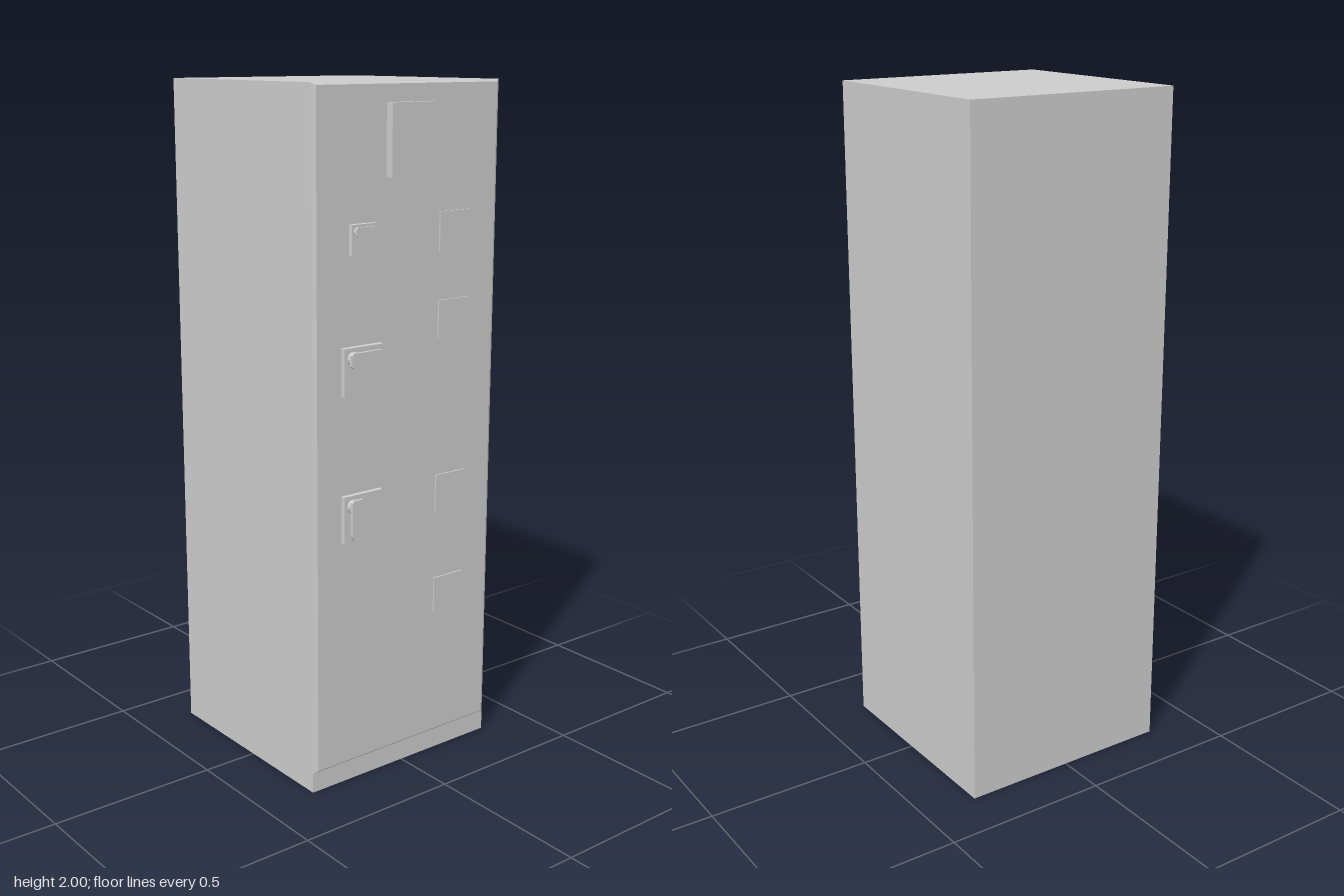
import * as THREE from 'three';

const W = 0.333, BACK = -0.352, FRAME = 0.303, FACE = 0.312, PLINTH = 0.06;

const grey = new THREE.MeshStandardMaterial({ color: 0xcccccc, flatShading: true });
const sheet = new THREE.MeshStandardMaterial({ color: 0xcccccc, flatShading: true, side: THREE.DoubleSide });

function add(parent, name, geometry, material = grey) {
  const mesh = new THREE.Mesh(geometry, material);
  mesh.name = name;
  parent.add(mesh);
  return mesh;
}

// Sheet made of quads, corners counter-clockwise seen from outside
function quads(list) {
  const pos = [];
  for (const [a, b, c, d] of list) pos.push(...a, ...b, ...c, ...a, ...c, ...d);
  const g = new THREE.BufferGeometry();
  g.setAttribute('position', new THREE.Float32BufferAttribute(pos, 3));
  g.computeVertexNormals();
  return g;
}

// Rectangle corners at depth z
const ring = (w, y0, y1, z) => [[-w, y0, z], [w, y0, z], [w, y1, z], [-w, y1, z]];
const side = (a, b, i) => [a[i], a[(i + 1) % 4], b[(i + 1) % 4], b[i]];

// Box standing on the door between given edges, optionally narrowing towards the front
function plate(parent, name, x0, x1, y0, y1, z1, taper = 1) {
  const z0 = FACE - 0.002;
  const g = new THREE.BoxGeometry(x1 - x0, y1 - y0, z1 - z0);
  const p = g.attributes.position;
  for (let i = 0; i < p.count; i++) {
    if (p.getZ(i) > 0) p.setXY(i, p.getX(i) * taper, p.getY(i) * taper);
  }
  const mesh = add(parent, name, g);
  mesh.position.set((x0 + x1) / 2, (y0 + y1) / 2, (z0 + z1) / 2);
}

// Lever with a rounded free end and small chamfers at the pivot end
function leverGeometry(depth) {
  const s = new THREE.Shape();
  s.moveTo(-0.018, -0.021);
  s.lineTo(0.076, -0.021);
  s.absarc(0.076, 0, 0.021, -Math.PI / 2, Math.PI / 2, false);
  s.lineTo(-0.018, 0.021);
  s.lineTo(-0.024, 0.015);
  s.lineTo(-0.024, -0.015);
  return new THREE.ExtrudeGeometry(s, { depth, bevelEnabled: false, curveSegments: 8 });
}

// Latch: backing plate, pivot stem and turning lever
function latch(parent, name, x, y, scale, angle, leverZ, leverDepth, plateZ) {
  const group = new THREE.Group();
  group.name = name;
  const h = 0.0695 * scale;
  plate(group, 'latchPlate', x - h, x + h, y - h, y + h, plateZ, 0.97);
  const px = x - 0.0375 * scale, py = y + 0.037 * scale;
  const stem = add(group, 'latchStem',
    new THREE.CylinderGeometry(0.016 * scale, 0.02 * scale, leverZ - plateZ + 0.002, 16));
  stem.rotation.x = Math.PI / 2;
  stem.position.set(px, py, (leverZ + plateZ) / 2);
  const lever = add(group, 'latchLever', leverGeometry(leverDepth));
  lever.scale.set(scale, scale, 1);
  lever.rotation.z = angle;
  lever.position.set(px, py, leverZ);
  parent.add(group);
}

export function createModel() {
  const model = new THREE.Group();
  model.name = 'cabinet';

  // Hollow housing, open underneath
  const rear = ring(W, 0, 2, BACK), frame = ring(W, 0, 2, FRAME);
  add(model, 'housing', quads([
    [rear[1], rear[0], rear[3], rear[2]],
    side(frame, rear, 1).reverse(), side(frame, rear, 2).reverse(), side(frame, rear, 3).reverse(),
  ].map((q, i) => (i ? q.reverse() : q)).map((q, i) => (i ? [q[3], q[2], q[1], q[0]].reverse() : q))
    .map((q, i) => (i ? [q[1], q[0], q[3], q[2]].reverse() : q))), sheet);

  // Plinth strip below the door
  add(model, 'plinth', quads([ring(W, 0, PLINTH, FRAME)]), sheet);

  // Door with bevelled rim
  const outer = ring(W, PLINTH, 2, FRAME), inner = ring(W - 0.013, PLINTH + 0.008, 1.993, FACE);
  add(model, 'door', quads([inner, ...[0, 1, 2, 3].map((i) => side(outer, inner, i))]), sheet);

  // Raised name panel
  plate(model, 'namePanel', -0.084, 0.083, 1.748, 1.945, 0.337);

  // Latches down the hinge-free side
  latch(model, 'upperLatch', -0.168, 1.588, 0.62, 0, 0.334, 0.006, 0.322);
  latch(model, 'middleLatch', -0.1675, 1.23, 1, 0, 0.34, 0.01, 0.323);
  latch(model, 'lowerLatch', -0.1675, 0.811, 1, -Math.PI / 2, 0.34, 0.01, 0.323);

  // Thin label plates
  for (const y of [1.588, 1.338, 0.822, 0.504]) {
    plate(model, 'labelPlate', 0.11, 0.222, y - 0.056, y + 0.056, 0.317);
  }
  return model;
}
